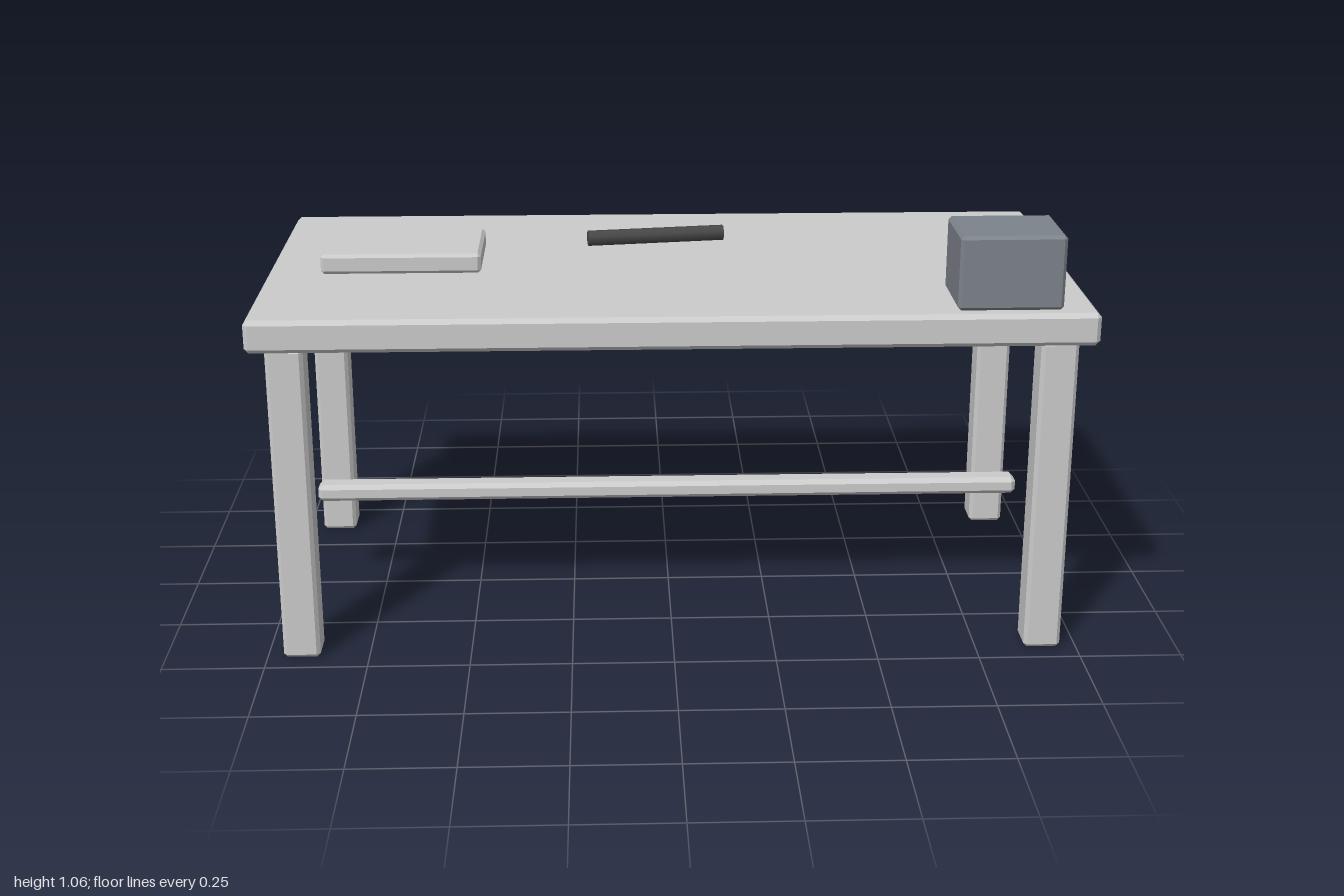
import * as THREE from 'three';
import { ConvexGeometry } from 'three/addons/geometries/ConvexGeometry.js';

const grey = new THREE.MeshStandardMaterial({ color: 0xcccccc });
const slate = new THREE.MeshStandardMaterial({ color: 0x7d838b });
const charcoal = new THREE.MeshStandardMaterial({ color: 0x484848 });

// Box with a single flat bevel along every edge
function bevelledBox(w, h, d, b) {
  const half = [w / 2, h / 2, d / 2];
  const points = [];
  for (const sx of [-1, 1]) for (const sy of [-1, 1]) for (const sz of [-1, 1]) {
    for (let axis = 0; axis < 3; axis++) {
      const p = half.map((v, i) => (i === axis ? v : v - b));
      points.push(new THREE.Vector3(sx * p[0], sy * p[1], sz * p[2]));
    }
  }
  return new ConvexGeometry(points);
}

export function createModel() {
  const model = new THREE.Group();
  model.name = 'workbench';

  function add(name, geometry, material, x, y, z) {
    const mesh = new THREE.Mesh(geometry, material);
    mesh.name = name;
    mesh.position.set(x, y, z);
    model.add(mesh);
    return mesh;
  }

  // Table top
  add('tableTop', bevelledBox(2, 0.08, 0.975, 0.011), grey, 0, 0.84, 0);

  // Four square legs
  const legGeometry = bevelledBox(0.09, 0.797, 0.09, 0.009);
  for (const [side, x] of [['Left', 0.915], ['Right', -0.915]]) {
    for (const [end, z] of [['front', 0.404], ['back', -0.404]]) {
      add(`${end}${side}Leg`, legGeometry, grey, x, 0.4, z);
    }
  }

  // Long rail between the leg pairs
  add('stretcher', bevelledBox(1.83, 0.045, 0.06, 0.011), grey, 0, 0.265, 0);

  // Flat block lying on the top
  add('book', bevelledBox(0.397, 0.05, 0.252, 0.008), grey, -0.667, 0.905, -0.027);

  // Vise body with its round bar
  add('viseBody', bevelledBox(0.25, 0.18, 0.202, 0.008), slate, 0.79, 0.97, 0.356);
  const bar = add('viseBar', new THREE.CylinderGeometry(0.02, 0.02, 0.22, 16), grey, 0.79, 0.97, 0.162);
  bar.rotation.x = Math.PI / 2;

  // Dark eight-sided rod, turned slightly on the top
  const rodGeometry = new THREE.CylinderGeometry(0.02, 0.02, 0.357, 8);
  rodGeometry.rotateY(Math.PI / 8);
  rodGeometry.rotateZ(Math.PI / 2);
  const rod = add('rod', rodGeometry, charcoal, -0.027, 0.9, -0.179);
  rod.rotation.y = 0.14;

  return model;
}
